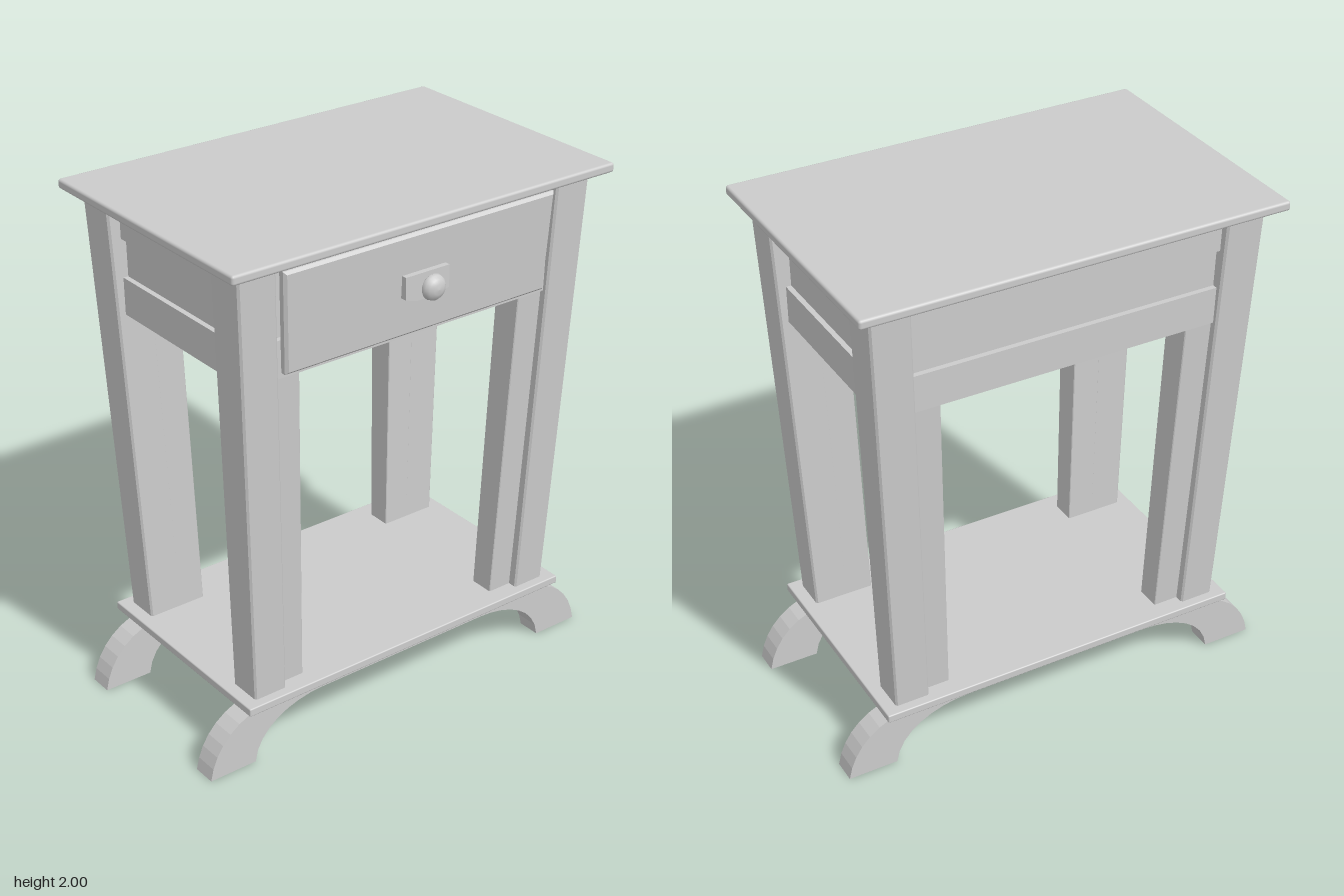
import * as THREE from 'three';
import { RoundedBoxGeometry } from 'three/addons/geometries/RoundedBoxGeometry.js';

const material = new THREE.MeshStandardMaterial({ color: 0xcccccc });

function add(parent, name, geometry, x = 0, y = 0, z = 0) {
  const mesh = new THREE.Mesh(geometry, material);
  mesh.name = name;
  mesh.position.set(x, y, z);
  parent.add(mesh);
  return mesh;
}

function polygon(points) {
  return new THREE.Shape(points.map(([x, y]) => new THREE.Vector2(x, y)));
}

// Upright post with chamfered corners; bottom and top are [x0, x1, z0, z1]
function taperedPost(bottom, top, y0, y1, chamfer) {
  const c = 1 - chamfer;
  const section = polygon([[-c, -1], [c, -1], [1, -c], [1, c], [c, 1], [-c, 1], [-1, c], [-1, -c]]);
  const geometry = new THREE.ExtrudeGeometry(section, { depth: 1, bevelEnabled: false });
  geometry.rotateX(-Math.PI / 2);
  const p = geometry.attributes.position;
  const mix = THREE.MathUtils.lerp;
  for (let i = 0; i < p.count; i++) {
    const t = p.getY(i);
    const [x0, x1, z0, z1] = bottom.map((b, k) => mix(b, top[k], t));
    p.setXYZ(i, mix(x0, x1, (p.getX(i) + 1) / 2), mix(y0, y1, t), mix(z0, z1, (p.getZ(i) + 1) / 2));
  }
  geometry.computeVertexNormals();
  return geometry;
}

// Mirror a [x0, x1, z0, z1] rectangle into a corner, keeping min before max
function corner([x0, x1, z0, z1], sx, sz) {
  const xs = sx > 0 ? [x0, x1] : [-x1, -x0];
  const zs = sz > 0 ? [z0, z1] : [-z1, -z0];
  return [...xs, ...zs];
}

// Bracket foot: a flat bar sweeping down into a curved foot at each end
function footGeometry(depth) {
  const s = new THREE.Shape();
  s.moveTo(-0.88, 0);
  s.lineTo(-0.685, 0);
  s.bezierCurveTo(-0.67, 0.13, -0.53, 0.2, -0.38, 0.2);
  s.lineTo(0.38, 0.2);
  s.bezierCurveTo(0.53, 0.2, 0.67, 0.13, 0.685, 0);
  s.lineTo(0.88, 0);
  s.bezierCurveTo(0.86, 0.13, 0.76, 0.235, 0.59, 0.235);
  s.lineTo(-0.59, 0.235);
  s.bezierCurveTo(-0.76, 0.235, -0.86, 0.13, -0.88, 0);
  const geometry = new THREE.ExtrudeGeometry(s, { depth, bevelEnabled: false, curveSegments: 8 });
  return geometry.translate(0, 0, -depth / 2);
}

export function createModel() {
  const model = new THREE.Group();
  model.name = 'sideTable';
  const frame = new THREE.Group();
  frame.name = 'frame';
  frame.position.z = -0.013;
  model.add(frame);

  // Table top and lower shelf
  add(frame, 'tableTop', new RoundedBoxGeometry(1.64, 0.036, 1.06, 2, 0.01), 0, 1.982, 0);
  add(frame, 'lowerShelf', new RoundedBoxGeometry(1.47, 0.032, 0.89, 2, 0.005), 0, 0.259, 0);

  // Feet, with small spacers up to the shelf
  for (const sz of [1, -1]) {
    add(frame, 'foot', footGeometry(0.092), 0, 0, sz * 0.353);
    add(frame, 'footSpacer', new THREE.BoxGeometry(1.1, 0.02, 0.07), 0, 0.238, sz * 0.353);
  }

  // Tapered corner legs, each with a recessed strip on its inner side
  for (const sx of [1, -1]) for (const sz of [1, -1]) {
    const leg = new THREE.Group();
    leg.name = 'leg';
    frame.add(leg);
    add(leg, 'legPost', taperedPost(
      corner([0.55, 0.685, 0.273, 0.408], sx, sz),
      corner([0.608, 0.76, 0.313, 0.47], sx, sz), 0.27, 1.968, 0.1));
    add(leg, 'legStrip', taperedPost(
      corner([0.45, 0.56, 0.273, 0.372], sx, sz),
      corner([0.488, 0.62, 0.305, 0.425], sx, sz), 0.27, 1.6, 0.05));
  }

  // Apron: a core with raised upper and lower rails
  add(frame, 'apronCore', new THREE.BoxGeometry(1.38, 0.42, 0.83), 0, 1.755, 0);
  add(frame, 'upperRail', new THREE.BoxGeometry(1.42, 0.145, 0.87), 0, 1.8925, 0);
  add(frame, 'lowerRail', new THREE.BoxGeometry(1.42, 0.14, 0.87), 0, 1.605, 0);

  // Drawer, leaning with the legs
  const drawer = new THREE.Group();
  drawer.name = 'drawer';
  drawer.position.set(0, 1.745, 0.43);
  drawer.rotation.x = 0.05;
  model.add(drawer);
  const face = polygon([[-0.56, -0.18], [0.56, -0.18], [0.575, 0.18], [-0.575, 0.18]]);
  add(drawer, 'drawerFront', new THREE.ExtrudeGeometry(face, {
    depth: 0.02, bevelThickness: 0.01, bevelSize: 0.01, bevelSegments: 1,
  }));

  // Knob on its backplate
  const plate = polygon([[-0.095, -0.035], [-0.045, -0.05], [0.045, -0.05], [0.095, -0.035], [0.095, 0.048], [-0.095, 0.048]]);
  add(model, 'knobPlate', new THREE.ExtrudeGeometry(plate, { depth: 0.035, bevelEnabled: false }), 0, 1.742, 0.448);
  const profile = [[0, 0], [0.017, 0], [0.017, 0.028], [0.017, 0.028], [0.044, 0.028], [0.048, 0.034],
    [0.045, 0.047], [0.035, 0.059], [0.019, 0.066], [0, 0.068]];
  const knob = new THREE.LatheGeometry(profile.map(([r, h]) => new THREE.Vector2(r, h)), 24);
  add(model, 'knob', knob.rotateX(Math.PI / 2), 0, 1.742, 0.477);

  return model;
}
